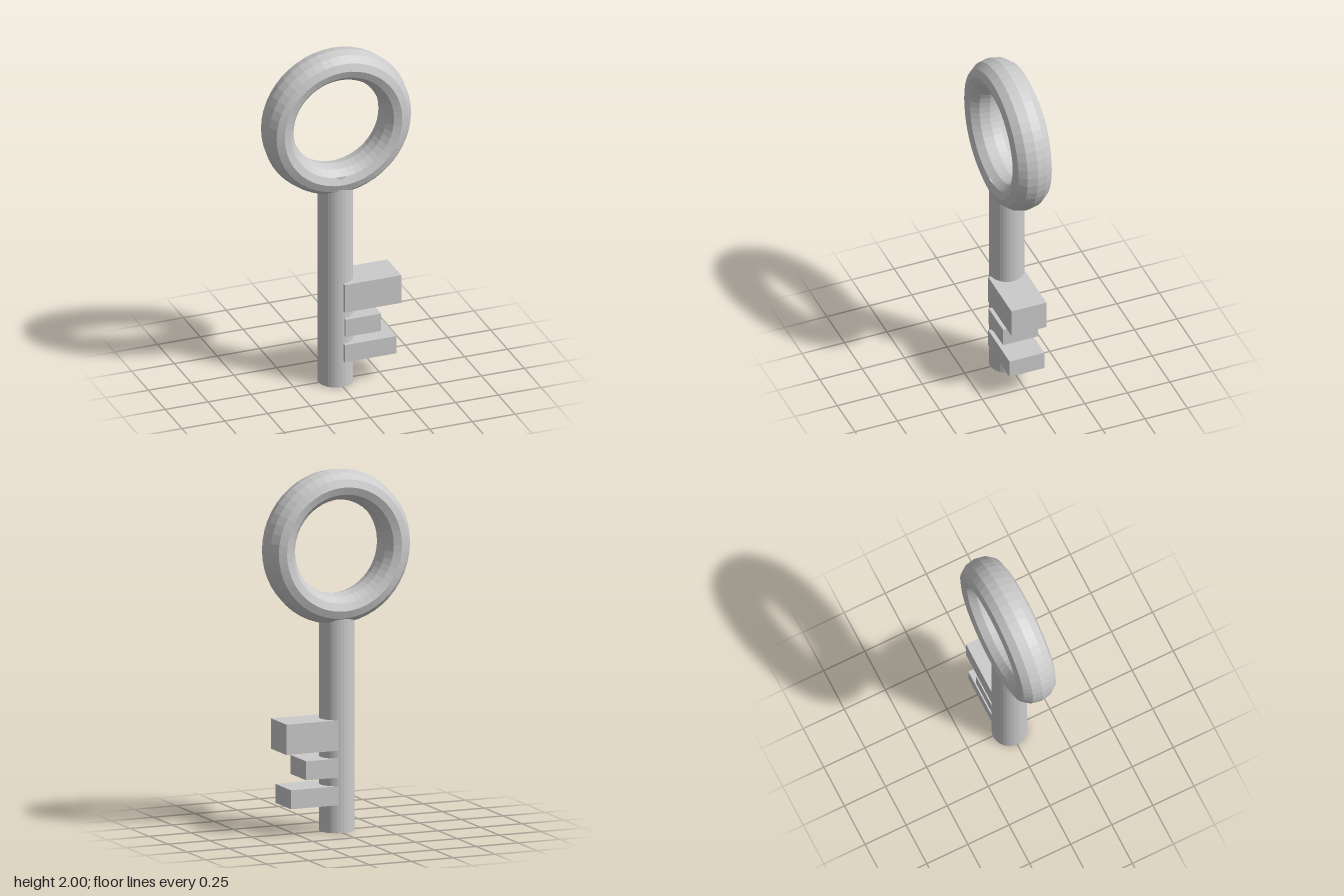
import * as THREE from 'three';

export function createModel() {
  const key = new THREE.Group();
  key.name = 'key';
  const material = new THREE.MeshStandardMaterial({ color: 0xcccccc, flatShading: true });

  const add = (name, geometry, x, y, z) => {
    const mesh = new THREE.Mesh(geometry, material);
    mesh.name = name;
    mesh.position.set(x, y, z);
    key.add(mesh);
    return mesh;
  };

  // Ring handle: a faceted torus, deeper than its band is wide
  const ring = new THREE.TorusGeometry(0.343, 0.0845, 12, 48);
  ring.scale(1, 1, 0.113 / 0.0845);
  add('bow', ring, 0, 1.5725, -0.005);

  // Round shaft, its top buried in the ring
  const length = 1.275;
  add('shaft', new THREE.CylinderGeometry(0.097, 0.097, length, 32), -0.006, length / 2, 0);

  // Teeth on the left side: [x start, x end, bottom, top]
  const teeth = [
    [0.005, 0.335, 0.457, 0.625],
    [0.01, 0.217, 0.308, 0.413],
    [0.005, 0.308, 0.155, 0.26],
  ];
  for (const [x0, x1, y0, y1] of teeth) {
    add('tooth', new THREE.BoxGeometry(x1 - x0, y1 - y0, 0.206), (x0 + x1) / 2, (y0 + y1) / 2, 0.011);
  }

  return key;
}
